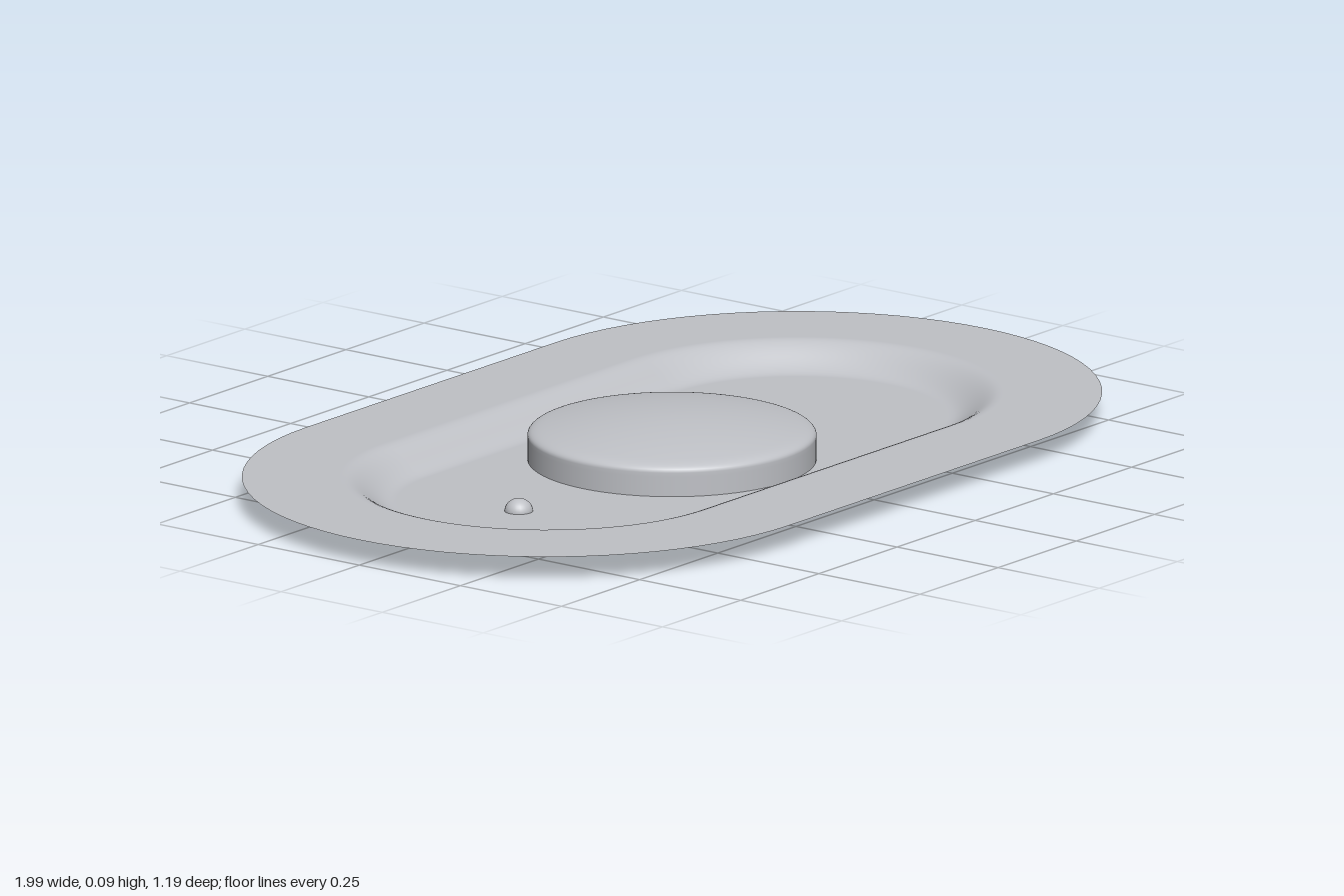
import * as THREE from 'three';

const HALF_STRAIGHT = 0.4; // half length of the straight sides
const ARC_STEPS = 40; // segments on each rounded end

const metal = new THREE.MeshStandardMaterial({ color: 0xbfc1c6, side: THREE.DoubleSide });
metal.name = 'light grey metal';

// One stadium outline of end radius r at height y
function outline(r, y) {
  const points = [];
  for (const side of [1, -1]) {
    for (let i = 0; i <= ARC_STEPS; i++) {
      const a = -Math.PI / 2 + (Math.PI * i) / ARC_STEPS;
      points.push([side * (HALF_STRAIGHT + r * Math.cos(a)), y, side * r * Math.sin(a)]);
    }
  }
  return points;
}

// Pressed sheet: rows of outlines joined from the outer edge to the centre
function sheet(profile) {
  const rows = profile.map(([r, y]) => outline(r, y));
  const n = rows[0].length;
  const index = [];
  for (let i = 0; i < rows.length - 1; i++) {
    for (let j = 0; j < n; j++) {
      const a = i * n + j, b = i * n + ((j + 1) % n);
      index.push(a, a + n, b, b, a + n, b + n);
    }
  }
  const geometry = new THREE.BufferGeometry();
  geometry.setAttribute('position', new THREE.Float32BufferAttribute(rows.flat(2), 3));
  geometry.setIndex(index);
  geometry.computeVertexNormals();
  return geometry;
}

function addPart(group, name, geometry, x = 0) {
  const mesh = new THREE.Mesh(geometry, metal);
  mesh.name = name;
  mesh.position.x = x;
  group.add(mesh);
}

export function createModel() {
  const group = new THREE.Group();
  group.name = 'recessedPlate';

  // Flat flange, S-curved wall and flat floor
  const profile = [[0.597, 0.05], [0.405, 0.05]];
  for (let i = 0; i <= 12; i++) {
    const t = i / 12;
    profile.push([0.4 - 0.1 * t, 0.05 * (1 - t * t * (3 - 2 * t))]);
  }
  profile.push([0.295, 0], [0, 0]);
  addPart(group, 'tray', sheet(profile));

  // Round cover: upright wall, rounded shoulder, shallow crown
  const shoulder = new THREE.CubicBezierCurve(
    new THREE.Vector2(0.283, 0.048), new THREE.Vector2(0.283, 0.06),
    new THREE.Vector2(0.265, 0.064), new THREE.Vector2(0.245, 0.068));
  const crown = new THREE.CubicBezierCurve(
    new THREE.Vector2(0.245, 0.068), new THREE.Vector2(0.17, 0.083),
    new THREE.Vector2(0.08, 0.092), new THREE.Vector2(0, 0.092));
  const cover = [new THREE.Vector2(0.283, 0), new THREE.Vector2(0.283, 0.04),
    ...shoulder.getPoints(10), ...crown.getPoints(14).slice(1)];
  addPart(group, 'domedCover', new THREE.LatheGeometry(cover, 72));

  // Small rounded stud on the floor
  const stud = new THREE.SphereGeometry(0.028, 24, 10, 0, Math.PI * 2, 0, Math.PI / 2);
  stud.scale(1, 0.9, 1);
  addPart(group, 'stud', stud, -0.49);

  return group;
}
